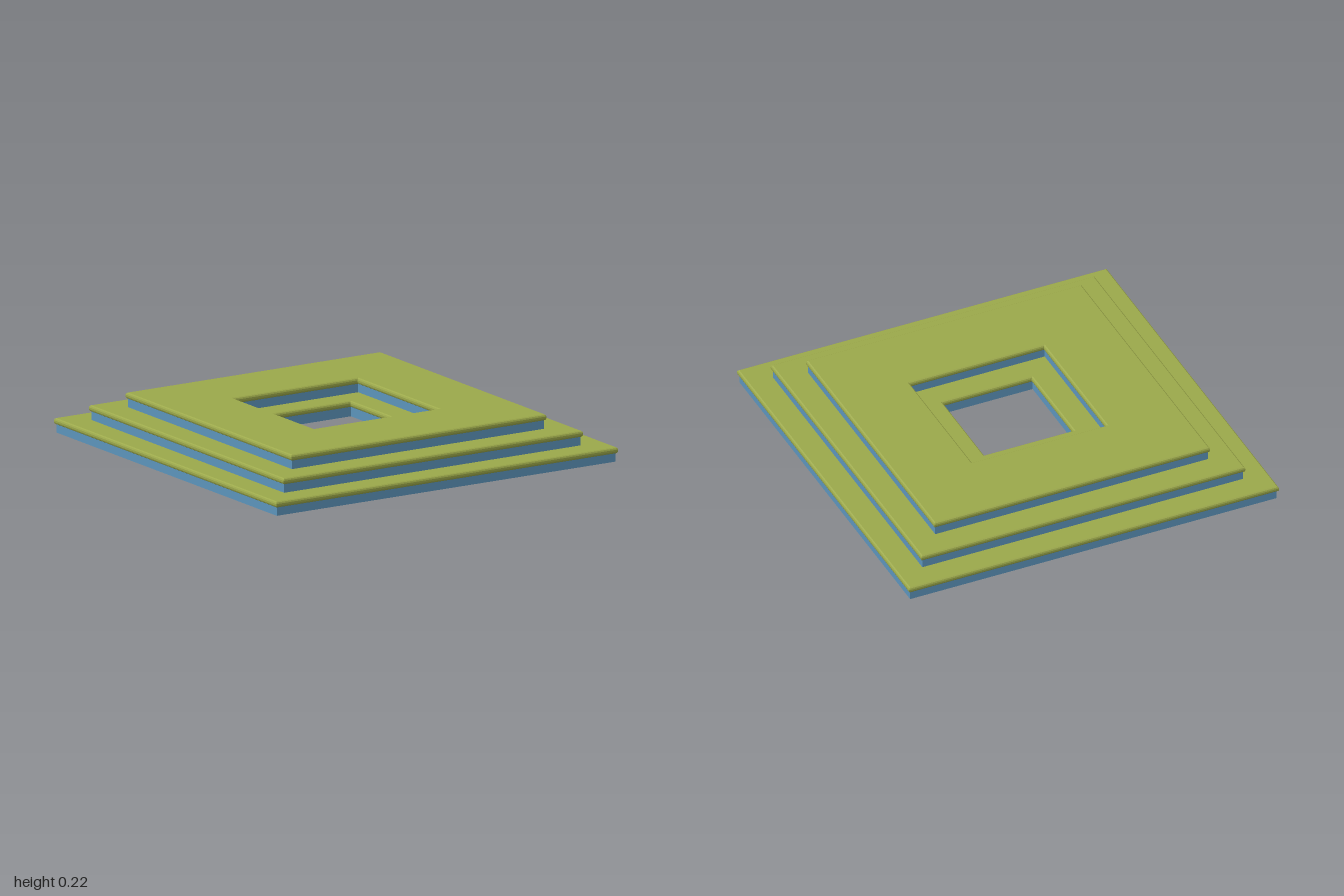
import * as THREE from 'three';

const green = new THREE.MeshStandardMaterial({ color: 0x9ba84a, flatShading: true, side: THREE.DoubleSide });
const blue = new THREE.MeshStandardMaterial({ color: 0x5c94bb, flatShading: true, side: THREE.DoubleSide });

// Square shell swept from [half width, height] points: a four-sided lathe.
function squareShell(name, profile, material) {
  const points = profile.map(([half, y]) => new THREE.Vector2(half * Math.SQRT2, y));
  const mesh = new THREE.Mesh(new THREE.LatheGeometry(points, 4, Math.PI / 4), material);
  mesh.name = name;
  return mesh;
}

// A hollow step: outer wall, lipped top sheet, and an optional lipped opening with its own wall.
function createTier({ name, outer, inner, bottom, top, openingWall }) {
  const tier = new THREE.Group();
  tier.name = name;
  const lip = 0.009, lipBase = top - 0.031;
  const wall = outer - lip;

  tier.add(squareShell('outerWall', [[wall, bottom], [wall, lipBase]], blue));

  // Rounded outer lip running into the flat tread
  const profile = [
    [wall, lipBase], [outer - 0.003, lipBase + 0.004], [outer, lipBase + 0.011],
    [outer, top - 0.011], [outer - 0.003, top - 0.004], [wall, top],
  ];
  if (openingWall) {
    const edge = inner + lip;
    profile.push(
      [edge, top], [inner + 0.003, top - 0.004], [inner, top - 0.011],
      [inner, lipBase + 0.011], [inner + 0.003, lipBase + 0.004], [edge, lipBase],
    );
    tier.add(squareShell('openingWall', [[edge, lipBase], [edge, bottom]], blue));
  } else {
    profile.push([inner, top]);
  }
  tier.add(squareShell('lippedTread', profile, green));
  return tier;
}

export function createModel() {
  const model = new THREE.Group();
  model.name = 'steppedPlatform';
  const tiers = [
    { name: 'lowerTier', outer: 1, inner: 0.49, bottom: 0, top: 0.073, openingWall: false },
    { name: 'middleTier', outer: 0.876, inner: 0.24, bottom: 0.068, top: 0.147, openingWall: true },
    { name: 'upperTier', outer: 0.746, inner: 0.362, bottom: 0.135, top: 0.221, openingWall: true },
  ];
  for (const tier of tiers) model.add(createTier(tier));
  return model;
}
